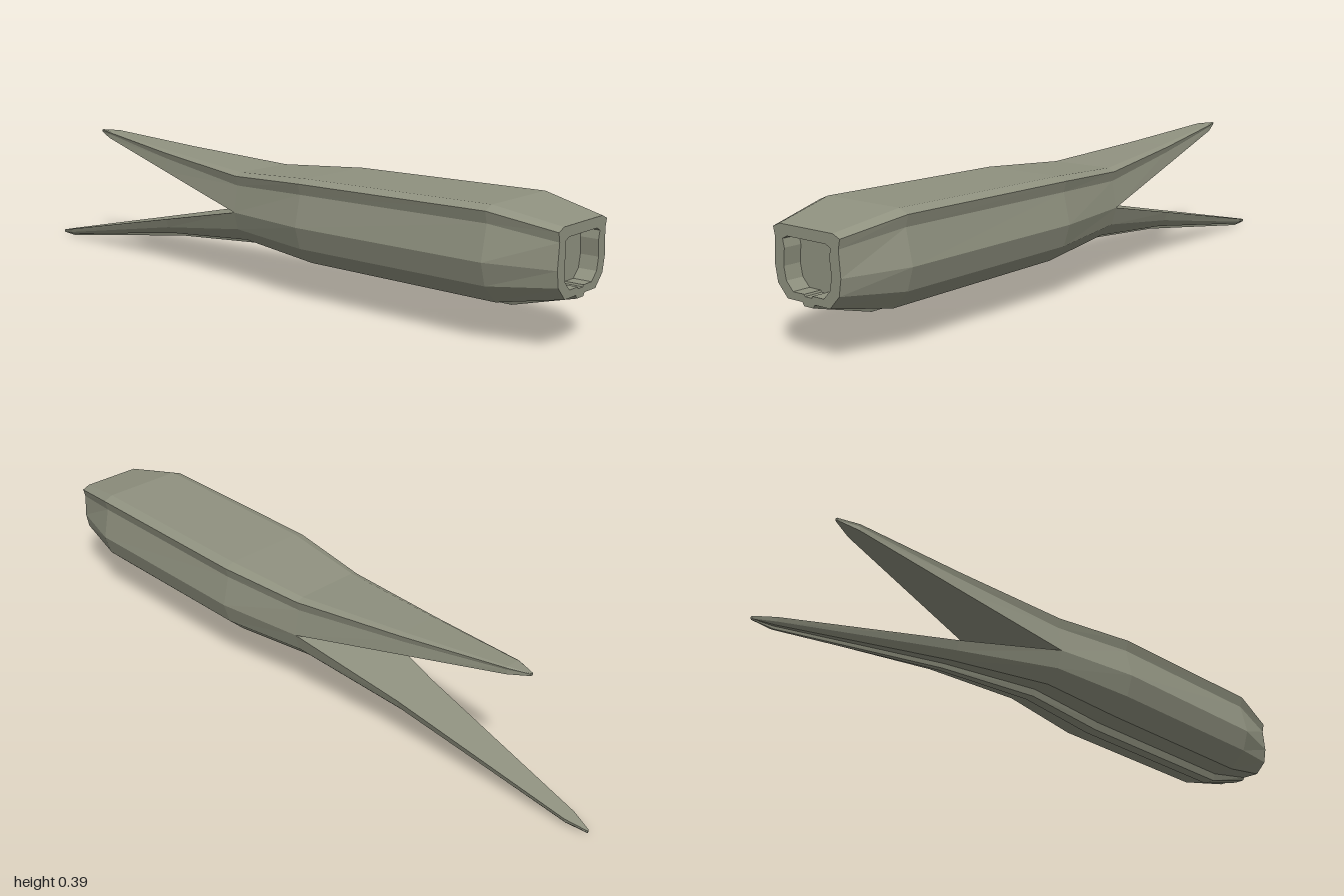
import * as THREE from 'three';

// Half cross-sections [x, y]: top edge, corner, notch, mid side | low side, bottom, keel root, keel bottom
const FRONT = [[0.093, 0.323], [0.117, 0.313], [0.111, 0.288], [0.116, 0.22], [0.108, 0.176], [0.075, 0.142], [0.022, 0.142], [0.016, 0.133]];
const POCKET = [[0.068, 0.295], [0.084, 0.287], [0.079, 0.265], [0.084, 0.22], [0.077, 0.185], [0.054, 0.162], [0.014, 0.162], [0.012, 0.157]];
const WIDE = [[0.125, 0.358], [0.155, 0.346], [0.146, 0.314], [0.166, 0.22], [0.146, 0.157], [0.094, 0.106], [0.026, 0.106], [0.018, 0.084]];
const MIDDLE = [[0.125, 0.351], [0.155, 0.34], [0.146, 0.309], [0.166, 0.22], [0.146, 0.157], [0.094, 0.108], [0.026, 0.108], [0.018, 0.086]];
const FORK = [[0.098, 0.335], [0.12, 0.326], [0.113, 0.298], [0.127, 0.22], [0.112, 0.168], [0.073, 0.13], [0.021, 0.13], [0.015, 0.11]];
const DEPTH = 0.05;

// Mirror a half section into a full ring
const ring = (half) => [...half, ...half.map(([x, y]) => [-x, y]).reverse()];

const shapeOf = (half) => new THREE.Shape(ring(half).map(([x, y]) => new THREE.Vector2(x, y)));

// Skin rings from front to back with flat facets; stations are [z, half section]
function loft(stations, inward = false) {
  const pos = [];
  const rings = stations.map(([z, half]) => ring(half).map(([x, y]) => [x, y, z]));
  for (let k = 0; k < rings.length - 1; k++) {
    const p = rings[k], q = rings[k + 1], n = p.length;
    for (let i = 0; i < n; i++) {
      const j = (i + 1) % n;
      const quad = inward
        ? [p[i], q[i], p[j], p[j], q[i], q[j]]
        : [p[i], p[j], q[i], p[j], q[j], q[i]];
      pos.push(...quad.flat());
    }
  }
  const g = new THREE.BufferGeometry();
  g.setAttribute('position', new THREE.Float32BufferAttribute(pos, 3));
  g.computeVertexNormals();
  return g;
}

export function createModel() {
  const model = new THREE.Group();
  model.name = 'forkedBody';
  const olive = new THREE.MeshStandardMaterial({ color: 0x8f917f });
  olive.name = 'oliveGrey';

  const add = (name, geometry, z = 0) => {
    const m = new THREE.Mesh(geometry, olive);
    m.name = name;
    m.position.z = z;
    model.add(m);
    return m;
  };

  // Main body
  add('body', loft([[1, FRONT], [0.82, WIDE], [0.22, MIDDLE], [-0.05, FORK]]));

  // Front rim with a shallow pocket
  const rim = shapeOf(FRONT);
  rim.holes.push(shapeOf(POCKET));
  add('frontRim', new THREE.ShapeGeometry(rim), 1);
  add('pocketWall', loft([[1, POCKET], [1 - DEPTH, POCKET]], true));
  add('pocketFloor', new THREE.ShapeGeometry(shapeOf(POCKET)), 1 - DEPTH);

  // Upper prong
  const upperTip = [[0.003, 0.385], [0.004, 0.384], [0.004, 0.382], [0.003, 0.378]];
  add('upperProng', loft([
    [-0.05, FORK.slice(0, 4)],
    [-0.4, [[0.057, 0.359], [0.071, 0.352], [0.067, 0.335], [0.073, 0.295]]],
    [-0.72, [[0.02, 0.386], [0.025, 0.383], [0.023, 0.377], [0.024, 0.364]]],
    [-0.78, upperTip],
  ]));
  add('upperTip', new THREE.ShapeGeometry(shapeOf(upperTip)), -0.78).rotation.y = Math.PI;

  // Lower prong
  const lowerTip = [[0.003, 0.012], [0.003, 0.008], [0.002, 0.005], [0.001, 0.005], [0.001, 0.003]];
  add('lowerProng', loft([
    [-0.05, FORK.slice(3)],
    [-0.4, [[0.073, 0.143], [0.064, 0.116], [0.042, 0.094], [0.012, 0.094], [0.009, 0.081]]],
    [-0.94, [[0.021, 0.025], [0.018, 0.014], [0.012, 0.007], [0.004, 0.007], [0.003, 0]]],
    [-1, lowerTip],
  ]));
  add('lowerTip', new THREE.ShapeGeometry(shapeOf(lowerTip)), -1).rotation.y = Math.PI;

  return model;
}
